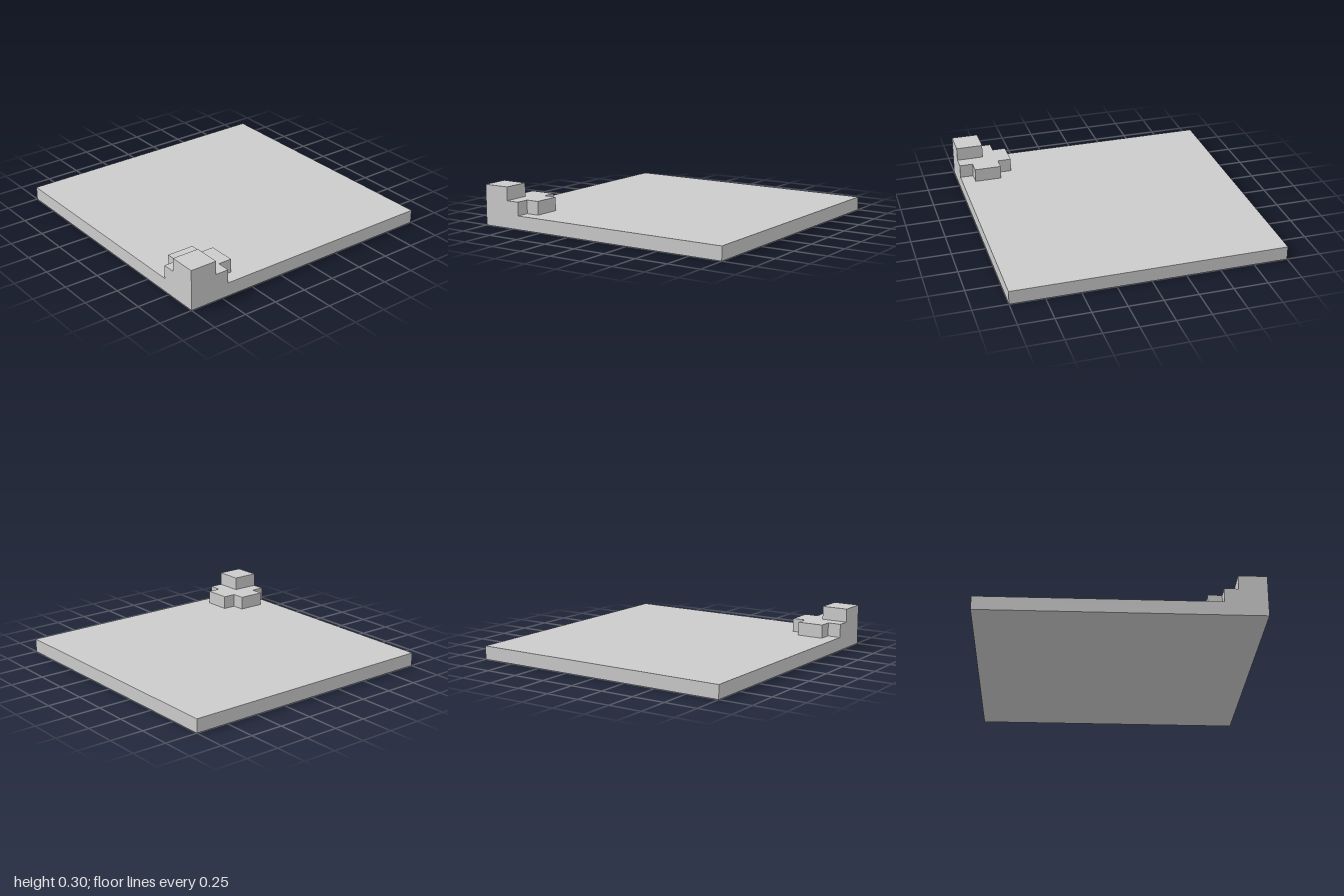
import * as THREE from 'three';

const material = new THREE.MeshStandardMaterial({ color: 0xcccccc, flatShading: true });
const LAYER = 0.1; // height of every layer

// Extrudes a plan outline of [x, z] points upwards by one layer from height y.
function slab(name, outline, y) {
  const shape = new THREE.Shape(outline.map(([x, z]) => new THREE.Vector2(x, -z)));
  const geometry = new THREE.ExtrudeGeometry(shape, { depth: LAYER, bevelEnabled: false });
  geometry.rotateX(-Math.PI / 2);
  const mesh = new THREE.Mesh(geometry, material);
  mesh.name = name;
  mesh.position.y = y;
  return mesh;
}

// Rectangular plan outline
const rect = (x0, x1, z0, z1) => [[x0, z1], [x1, z1], [x1, z0], [x0, z0]];

export function createModel() {
  const model = new THREE.Group();
  model.name = 'terrainTile';

  // Flat square ground
  model.add(slab('ground', rect(-1, 1, -1, 1), 0));

  // Stepped mound in the front corner: notched lower step
  model.add(slab('lowerStep', [
    [-1, 1], [-0.7, 1], [-0.7, 0.9], [-0.6, 0.9], [-0.6, 0.7],
    [-0.7, 0.7], [-0.7, 0.6], [-0.9, 0.6], [-0.9, 0.7], [-1, 0.7],
  ], LAYER));

  // Square block at the very corner
  model.add(slab('upperStep', rect(-1, -0.8, 0.8, 1), 2 * LAYER));

  return model;
}
